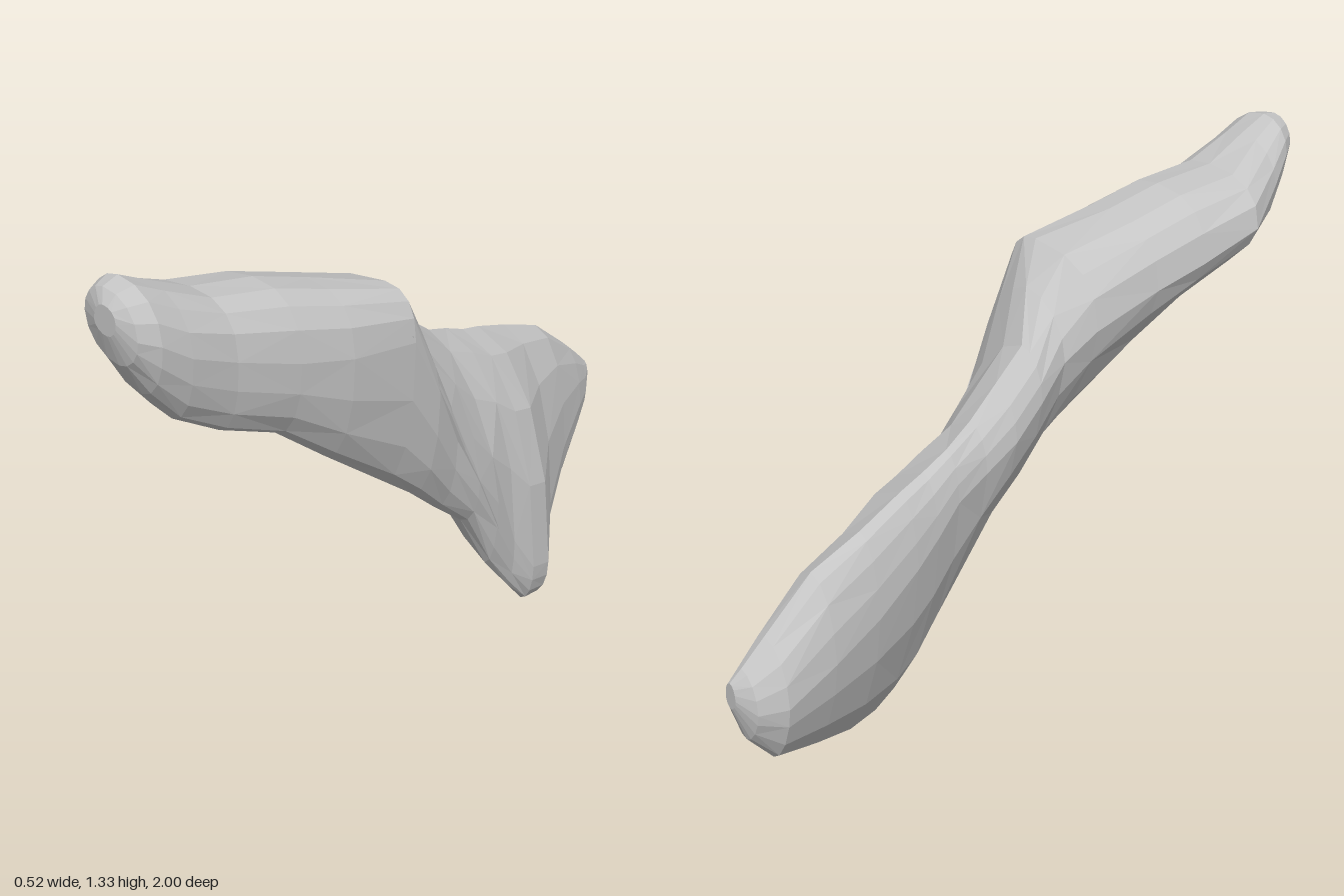
import * as THREE from 'three';

const STEPS = 4; // points per quarter of a cross-section
const SIDES = STEPS * 4;

// Cross-sections, front to back: z, then x, y of the bottom, +x side, top and -x side.
// bl, tr, tl: shape of the lower -x, upper +x and upper -x quarters (below 1 = boxy, 1 = round, 2 = straight)
const TIP = { bl: 1.05, tr: 0.95, tl: 1, rows: [
  [1.0, 0.11, 1.22, 0.14, 1.255, 0.1, 1.29, 0.07, 1.25],
  [0.98, 0.12, 1.15, 0.185, 1.22, 0.08, 1.32, 0.015, 1.25],
  [0.93, 0.13, 1.07, 0.205, 1.2, 0.07, 1.33, -0.02, 1.24],
  [0.85, 0.13, 0.985, 0.21, 1.15, 0.07, 1.295, -0.06, 1.18],
] };
const ARM = { bl: 1.4, tr: 0.8, tl: 0.8, rows: [
  [0.72, 0.14, 0.915, 0.21, 1.1, 0.06, 1.24, -0.125, 1.11],
  [0.55, 0.14, 0.85, 0.235, 1.05, 0.08, 1.22, -0.105, 1.05],
  [0.4, 0.15, 0.74, 0.255, 1.02, 0.1, 1.18, -0.09, 1.01],
  [0.2, 0.15, 0.6, 0.26, 1.0, 0.16, 1.13, -0.08, 0.95],
] };
const NECK = { bl: 1.35, tr: 1.25, tl: 1, rows: [
  [0.1, 0.15, 0.53, 0.25, 0.83, 0.08, 1.05, -0.07, 0.89],
  [0.0, 0.14, 0.45, 0.22, 0.66, -0.02, 0.95, -0.1, 0.82],
  [-0.1, 0.145, 0.375, 0.21, 0.51, -0.04, 0.885, -0.12, 0.75],
  [-0.2, 0.145, 0.21, 0.19, 0.4, -0.06, 0.82, -0.125, 0.7],
] };
const BLADE = { bl: 1.25, tr: 1, tl: 1, rows: [
  [-0.3, 0.14, 0.1, 0.165, 0.24, -0.09, 0.785, -0.14, 0.66],
  [-0.38, 0.125, 0.02, 0.168, 0.13, -0.1, 0.755, -0.16, 0.6],
  [-0.46, 0.1, 0.0, 0.155, 0.11, -0.115, 0.735, -0.18, 0.55],
  [-0.6, -0.01, 0.06, 0.045, 0.2, -0.14, 0.69, -0.21, 0.48],
  [-0.75, -0.1, 0.135, -0.03, 0.3, -0.15, 0.64, -0.24, 0.43],
  [-0.9, -0.18, 0.21, -0.095, 0.36, -0.17, 0.535, -0.26, 0.38],
  [-0.97, -0.18, 0.29, -0.13, 0.37, -0.175, 0.48, -0.235, 0.38],
  [-1.0, -0.17, 0.38, -0.15, 0.41, -0.17, 0.45, -0.19, 0.41],
] };

// Ring through the four extremes, from the bottom round by +x
function ring([z, xb, yb, xr, yr, xt, yt, xl, yl], { bl, tr, tl }) {
  const pts = [];
  for (let k = 0; k < STEPS; k++) {
    const a = (k / STEPS) * Math.PI / 2;
    const mix = (e) => [Math.pow(Math.sin(a), e), Math.pow(Math.cos(a), e)];
    const [s, c] = mix(1), [sr, cr] = mix(tr), [sl, cl] = mix(tl), [sb, cb] = mix(bl);
    pts[k] = [xb + (xr - xb) * s, yr + (yb - yr) * c, z];
    pts[k + STEPS] = [xt + (xr - xt) * cr, yr + (yt - yr) * sr, z];
    pts[k + STEPS * 2] = [xt + (xl - xt) * sl, yl + (yt - yl) * cl, z];
    pts[k + STEPS * 3] = [xb + (xl - xb) * cb, yl + (yb - yl) * sb, z];
  }
  return pts;
}

function loft(rings) {
  const idx = [];
  const last = rings.length - 1;
  for (let i = 0; i < last; i++) {
    for (let j = 0; j < SIDES; j++) {
      const a = i * SIDES + j, b = i * SIDES + ((j + 1) % SIDES);
      const c = a + SIDES, d = b + SIDES;
      // alternate the diagonals for an irregular faceted skin
      if ((i + j) % 2) idx.push(a, c, b, b, c, d);
      else idx.push(a, c, d, a, d, b);
    }
  }
  // end caps
  const e = last * SIDES;
  for (let j = 1; j < SIDES - 1; j++) idx.push(0, j, j + 1, e, e + j + 1, e + j);
  const g = new THREE.BufferGeometry();
  g.setAttribute('position', new THREE.Float32BufferAttribute(rings.flat(2), 3));
  g.setIndex(idx);
  const flat = g.toNonIndexed();
  flat.computeVertexNormals();
  return flat;
}

export function createModel() {
  const group = new THREE.Group();
  const stone = new THREE.MeshStandardMaterial({ color: 0xc4c4c4, flatShading: true });
  stone.name = 'paleGrey';

  const rings = [TIP, ARM, NECK, BLADE].flatMap((part) => part.rows.map((row) => ring(row, part)));
  const body = new THREE.Mesh(loft(rings), stone);
  body.name = 'body';
  group.add(body);

  // narrow fold running down the +x side
  const path = new THREE.CatmullRomCurve3([
    new THREE.Vector3(0.245, 1.02, 0.21),
    new THREE.Vector3(0.232, 0.83, 0.09),
    new THREE.Vector3(0.208, 0.64, -0.02),
    new THREE.Vector3(0.19, 0.44, -0.14),
    new THREE.Vector3(0.155, 0.23, -0.26),
  ]);
  const fold = new THREE.Mesh(new THREE.TubeGeometry(path, 6, 0.014, 5, false), stone);
  fold.name = 'sideFold';
  group.add(fold);

  return group;
}
